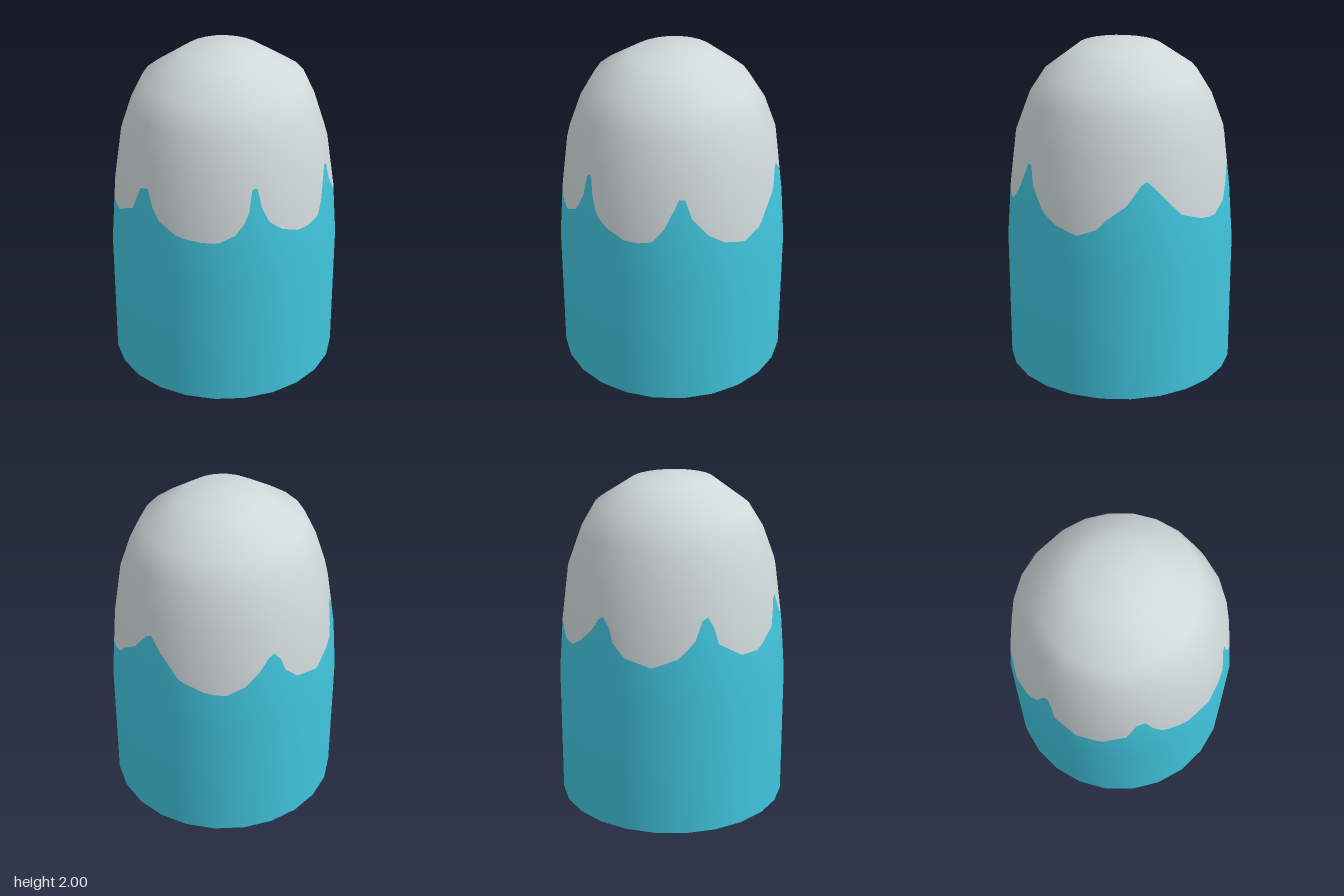
import * as THREE from 'three';

const RAD = Math.PI / 180;
const SIDES = 24;

// rings of the shell: height, radius in x, radius in z, upward tilt of the normal (degrees)
const RINGS = [
  [0, 0.685, 0.685, 0], [0.8, 0.685, 0.685, 2], [1.13, 0.66, 0.66, 6.5], [1.46, 0.61, 0.622, 13.5],
  [1.66, 0.545, 0.545, 22], [1.81, 0.475, 0.445, 42], [1.96, 0.235, 0.25, 68], [2, 0, 0, 90],
];

// wavy colour border: angle from the front towards +x (degrees), height
const BORDER = [
  [2, 1.25], [4, 1.38], [5.5, 1.395], [7, 1.385], [9, 1.27], [12.5, 1.18], [19.5, 1.115], [29, 1.075], [37, 1.07],
  [44, 1.09], [50, 1.17], [54, 1.26], [58, 1.35], [61, 1.345], [64, 1.23], [72, 1.12], [81, 1.05], [93.5, 1.015],
  [103, 1.06], [108, 1.12], [117.6, 1.2], [125, 1.31], [128.3, 1.335], [132.6, 1.29], [140, 1.2], [146.5, 1.12],
  [160, 1.06], [171, 1.045], [180, 1.1], [188, 1.185], [193, 1.265], [196, 1.285], [200, 1.225], [202, 1.15],
  [209, 1.075], [223, 1.03], [236, 1.085], [245, 1.185], [249, 1.295], [252, 1.315], [255, 1.25], [257, 1.155],
  [270, 1.065], [281, 1.06], [290, 1.12], [296, 1.15], [301, 1.3], [306, 1.315], [310, 1.22], [315.6, 1.15],
  [325, 1.09], [338, 1.07], [347, 1.075], [355, 1.12], [359, 1.18], [362, 1.25],
];

// linear interpolation in a table sorted by its first column
function sample(table, key) {
  let i = 1;
  while (i < table.length - 1 && table[i][0] < key) i++;
  const a = table[i - 1], b = table[i];
  const t = (key - a[0]) / (b[0] - a[0]);
  return a.map((v, k) => v + (b[k] - v) * t);
}

const borderAt = (deg) => sample(BORDER, deg < 2 ? deg + 360 : deg)[1];

// surface of the 24-sided shell; rowsAt gives the heights of a column from bottom to top
function shell(rowsAt) {
  const pos = [], nor = [], index = [];
  let rows = 0;
  for (let deg = 0; deg <= 360; deg++) {
    const heights = rowsAt(borderAt(deg % 360));
    rows = heights.length;
    const step = 360 / SIDES;
    const flat = Math.cos(step / 2 * RAD) / Math.cos(((deg % step) - step / 2) * RAD);
    const s = Math.sin(deg * RAD), c = Math.cos(deg * RAD);
    for (const h of heights) {
      const [y, rx, rz, tilt] = sample(RINGS, h);
      const out = Math.cos(tilt * RAD);
      pos.push(s * rx * flat, y, c * rz * flat);
      nor.push(s * out, Math.sin(tilt * RAD), c * out);
    }
  }
  for (let i = 0; i < 360; i++) {
    for (let j = 0; j < rows - 1; j++) {
      const a = i * rows + j, b = a + rows;
      index.push(a, b, b + 1, a, b + 1, a + 1);
    }
  }
  const geo = new THREE.BufferGeometry();
  geo.setAttribute('position', new THREE.Float32BufferAttribute(pos, 3));
  geo.setAttribute('normal', new THREE.Float32BufferAttribute(nor, 3));
  geo.setIndex(index);
  return geo;
}

export function createModel() {
  const model = new THREE.Group();
  model.name = 'domedCapsule';
  const teal = new THREE.MeshStandardMaterial({ color: 0x40c4dc });
  teal.name = 'teal';
  const grey = new THREE.MeshStandardMaterial({ color: 0xd0d8da });
  grey.name = 'pale grey';

  const add = (name, geo, mat) => {
    const mesh = new THREE.Mesh(geo, mat);
    mesh.name = name;
    model.add(mesh);
  };

  // lower body up to the wavy border
  add('body', shell((b) => [0, 0.8, Math.min(1.13, b), b]), teal);

  // dome from the border to the tip
  add('dome', shell((b) => [b, Math.max(1.13, b), 1.46, 1.66, 1.81, 1.96, 2]), grey);

  // faceted conical hollow under the base, facing down
  const hollow = new THREE.LatheGeometry(
    [new THREE.Vector2(0, 0.6), new THREE.Vector2(0.685, 0)], SIDES).toNonIndexed();
  hollow.computeVertexNormals();
  add('baseHollow', hollow, teal);

  return model;
}
